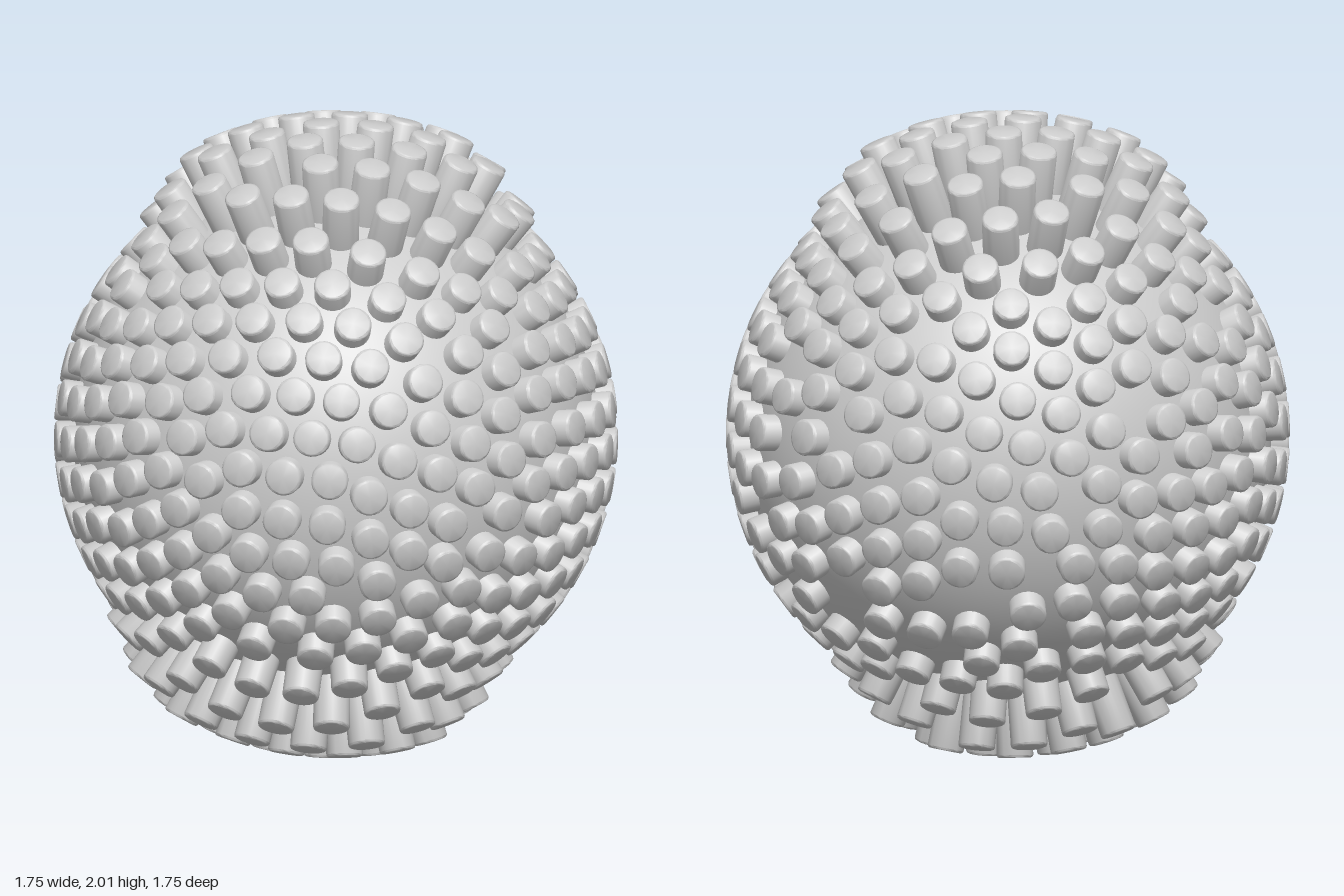
import * as THREE from 'three';
import { mergeGeometries, toCreasedNormals } from 'three/addons/utils/BufferGeometryUtils.js';

const CORE_RADIUS = 0.815;
const STUD_RADIUS = 0.057;
const STUD_LENGTH = 0.3;
const STUD_COUNT = 460;
const SPACING = 0.172;

// Round peg with a softened rim; its outer cap lies at y = 0
function studGeometry() {
  const r = STUD_RADIUS, b = 0.008;
  const profile = [[r, -STUD_LENGTH], [r, -b], [r - b * 0.3, -b * 0.3], [r - b, 0], [0, 0]]
    .map(([x, y]) => new THREE.Vector2(x, y));
  return toCreasedNormals(new THREE.LatheGeometry(profile, 24), 0.9);
}

// Distance of a stud's cap from the centre: long pegs around both slightly tilted poles
const topPole = new THREE.Vector3(0.01, 1, -0.06).normalize();
const bottomPole = new THREE.Vector3(-0.12, -1, 0.12).normalize();
function capRadius(dir) {
  const angle = THREE.MathUtils.radToDeg(Math.min(dir.angleTo(topPole), dir.angleTo(bottomPole)));
  return 0.872 + 0.13 * (1 - THREE.MathUtils.smoothstep(angle, 22, 50));
}

// Seeded scatter over the unit sphere, loosened until neighbours stand apart
function scatter() {
  let seed = 7;
  const random = () => (seed = (seed * 16807) % 2147483647) / 2147483647;
  const points = [];
  for (let i = 0; i < STUD_COUNT; i++) {
    const y = 1 - 2 * (i + 0.5) / STUD_COUNT;
    const around = random() * 2 * Math.PI;
    points.push(new THREE.Vector3().setFromSphericalCoords(1, Math.acos(y), around));
  }
  const push = new THREE.Vector3();
  for (let step = 0; step < 60; step++) {
    for (const p of points) {
      for (const q of points) {
        const gap = p.distanceTo(q);
        if (p === q || gap >= SPACING) continue;
        push.subVectors(p, q).multiplyScalar(0.3 * (SPACING - gap) / Math.max(gap, 0.01));
        p.add(push).normalize();
        q.sub(push).normalize();
      }
    }
  }
  return points;
}

export function createModel() {
  const group = new THREE.Group();
  group.name = 'studdedBall';
  const material = new THREE.MeshStandardMaterial({ color: 0xcccccc });

  // Smooth ball in the middle
  const core = new THREE.Mesh(new THREE.SphereGeometry(CORE_RADIUS, 64, 48), material);
  core.name = 'core';
  core.position.y = 1;
  group.add(core);

  // Pegs standing straight out of the ball
  const base = studGeometry();
  const up = new THREE.Vector3(0, 1, 0);
  const one = new THREE.Vector3(1, 1, 1);
  const studs = scatter().map((dir) => {
    const turn = new THREE.Quaternion().setFromUnitVectors(up, dir);
    const place = dir.clone().multiplyScalar(capRadius(dir));
    return base.clone().applyMatrix4(new THREE.Matrix4().compose(place, turn, one));
  });
  const studMesh = new THREE.Mesh(mergeGeometries(studs), material);
  studMesh.name = 'studs';
  studMesh.position.y = 1;
  group.add(studMesh);

  return group;
}
